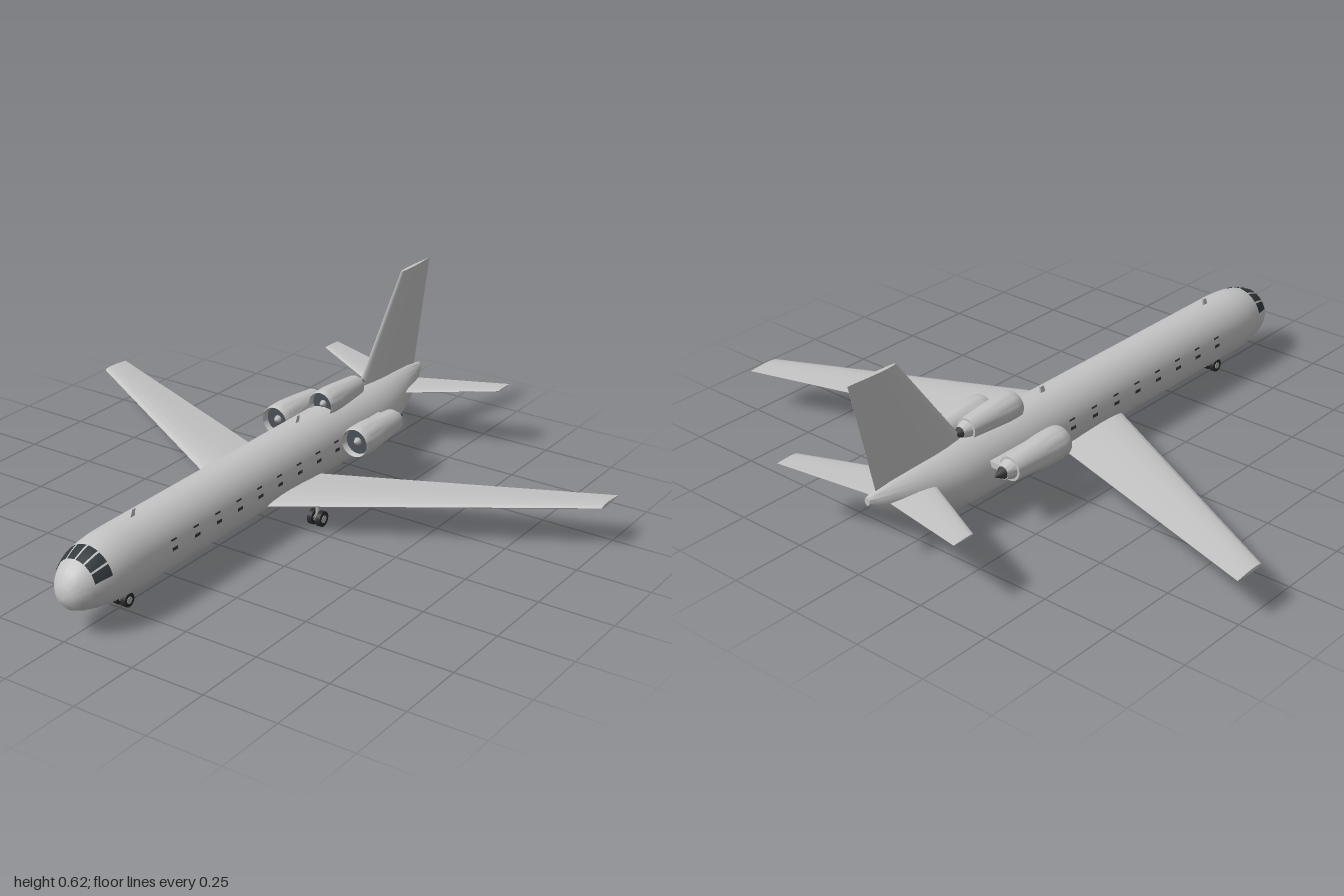
import * as THREE from 'three';
import { mergeGeometries, toCreasedNormals } from 'three/addons/utils/BufferGeometryUtils.js';

const mat = (name, color, side = THREE.FrontSide) => {
  const m = new THREE.MeshStandardMaterial({ color, side });
  m.name = name;
  return m;
};

// Skin a list of equal-length rings, cap both ends and face it outwards
function loft(rings) {
  const pos = [];
  const n = rings[0].length;
  const tri = (a, b, c) => pos.push(...a, ...b, ...c);
  for (let i = 0; i < rings.length - 1; i++) {
    for (let j = 0; j < n; j++) {
      const k = (j + 1) % n, a = rings[i], b = rings[i + 1];
      tri(a[j], a[k], b[k]);
      tri(a[j], b[k], b[j]);
    }
  }
  const cap = (ring, flip) => {
    const c = [0, 1, 2].map(i => ring.reduce((s, p) => s + p[i], 0) / n);
    for (let j = 0; j < n; j++) {
      const a = ring[j], b = ring[(j + 1) % n];
      flip ? tri(c, b, a) : tri(c, a, b);
    }
  };
  cap(rings[0], true);
  cap(rings[rings.length - 1], false);
  // a negative volume means the corners run the wrong way round
  let vol = 0;
  const v = i => new THREE.Vector3().fromArray(pos, i);
  for (let i = 0; i < pos.length; i += 9) vol += v(i).dot(v(i + 3).cross(v(i + 6)));
  if (vol < 0) {
    for (let i = 0; i < pos.length; i += 9) {
      for (let k = 3; k < 6; k++) [pos[i + k], pos[i + k + 3]] = [pos[i + k + 3], pos[i + k]];
    }
  }
  const g = new THREE.BufferGeometry();
  g.setAttribute('position', new THREE.Float32BufferAttribute(pos, 3));
  return toCreasedNormals(g, 0.7);
}

// Fuselage stations: z, centre height, half width, half height
const STATIONS = [
  [1, 0.145, 0.004, 0.004], [0.992, 0.147, 0.032, 0.034], [0.97, 0.153, 0.056, 0.062],
  [0.94, 0.158, 0.074, 0.079], [0.9, 0.162, 0.089, 0.093], [0.85, 0.164, 0.099, 0.103],
  [0.8, 0.164, 0.104, 0.108], [0.75, 0.164, 0.105, 0.109], [-0.55, 0.164, 0.105, 0.109],
  [-0.62, 0.166, 0.102, 0.106], [-0.7, 0.174, 0.09, 0.094], [-0.78, 0.187, 0.071, 0.075],
  [-0.86, 0.203, 0.046, 0.05], [-0.92, 0.2135, 0.024, 0.028], [-0.95, 0.223, 0.01, 0.013],
];

// Point on the fuselage skin; the angle runs from the top towards +x
function skin(z, angle, lift = 0) {
  let i = 0;
  while (i < STATIONS.length - 2 && STATIONS[i + 1][0] > z) i++;
  const a = STATIONS[i], b = STATIONS[i + 1];
  const t = (z - a[0]) / (b[0] - a[0]);
  const [y, rx, ry] = [1, 2, 3].map(k => a[k] + (b[k] - a[k]) * t);
  return [(rx + lift) * Math.sin(angle), y + (ry + lift) * Math.cos(angle), z];
}

// Thin pane following the skin, angles in degrees
function pane(z0, z1, a0, a1) {
  const g = new THREE.PlaneGeometry(1, 1, 4, 4);
  const p = g.attributes.position;
  for (let i = 0; i < p.count; i++) {
    const angle = THREE.MathUtils.degToRad(a0 + (a1 - a0) * (p.getX(i) + 0.5));
    p.setXYZ(i, ...skin(z0 + (z1 - z0) * (p.getY(i) + 0.5), angle, 0.002));
  }
  g.computeVertexNormals();
  return g;
}

// Aerofoil ring; place(offset, z) sets each point in space
const FOIL = [[0.015, 0.32], [0.07, 0.62], [0.2, 0.95], [0.38, 1], [0.65, 0.68], [0.85, 0.32]];
function foil(le, te, thick, place) {
  const at = ([c, h]) => place(h * thick / 2, le + (te - le) * c);
  const lower = FOIL.map(([c, h]) => [c, -h]).reverse();
  return [[0, 0], ...FOIL, [1, 0.04], [1, -0.04], ...lower].map(at);
}

export function createModel() {
  const model = new THREE.Group();
  model.name = 'jetAirliner';
  const paint = mat('light grey paint', 0xc4c4c4);
  const glass = mat('dark glass', 0x33393d, THREE.DoubleSide);
  const fanMetal = mat('fan grey', 0x4a5157);
  const exhaust = mat('exhaust grey', 0x3a3a3a);
  const tyre = mat('tyre black', 0x2b2b2b);
  const hub = mat('hub grey', 0xb0b0b0);

  const add = (name, geometry, material, parent = model) => {
    const m = new THREE.Mesh(geometry, material);
    m.name = name;
    parent.add(m);
    return m;
  };

  // Fuselage
  add('fuselage', loft(STATIONS.map(([z]) =>
    Array.from({ length: 48 }, (_, j) => skin(z, j / 24 * Math.PI)))), paint);

  // Cockpit panes
  const cockpit = [];
  for (let i = 0; i < 6; i++) cockpit.push(pane(0.88, 0.938, -75 + i * 25 + 2, -50 + i * 25 - 2));
  add('cockpitWindows', mergeGeometries(cockpit), glass);

  // Cabin windows: a narrow upper and a deeper lower strip at each place
  const cabin = [];
  for (const s of [1, -1]) {
    for (let i = 0; i < 9; i++) {
      const z = 0.61 - i * 0.109;
      cabin.push(pane(z - 0.013, z + 0.013, s * 70.5, s * 73.5));
      cabin.push(pane(z - 0.013, z + 0.013, s * 84, s * 89.5));
    }
  }
  add('cabinWindows', mergeGeometries(cabin), glass);

  // Wings and tailplanes
  for (const s of [1, -1]) {
    const side = s > 0 ? 'left' : 'right';
    const flat = (x, y) => (o, z) => [s * x, y + o, z];
    add(side + 'Wing', loft([
      foil(0.164, -0.157, 0.036, flat(0, 0.102)),
      foil(-0.4, -0.515, 0.012, flat(1, 0.152))]), paint);
    add(side + 'Tailplane', loft([
      foil(-0.7, -0.883, 0.016, flat(0, 0.2)),
      foil(-0.89, -0.97, 0.006, flat(0.36, 0.228))]), paint);
  }

  // Fin
  const upright = y => (o, z) => [o, y, z];
  add('fin', loft([
    foil(-0.515, -0.91, 0.036, upright(0.22)),
    foil(-0.81, -1, 0.014, upright(0.615))]), paint);

  // Engines, with the intake lip at the local origin
  const spin = pts => toCreasedNormals(new THREE.LatheGeometry(
    pts.map(([r, z]) => new THREE.Vector2(r, z)), 32).rotateX(Math.PI / 2), 0.7);
  const engine = (name, x, y, z, size) => {
    const g = new THREE.Group();
    g.name = name;
    g.position.set(x, y, z);
    g.scale.setScalar(size);
    add('nacelle', spin([[0.02, -0.235], [0.04, -0.235], [0.044, -0.19], [0.049, -0.13], [0.053, -0.07],
      [0.053, -0.03], [0.051, -0.006], [0.048, 0], [0.045, -0.006], [0.043, -0.03]]), paint, g);
    add('nozzle', spin([[0, -0.265], [0.022, -0.265], [0.032, -0.235]]), paint, g);
    add('exhaustCone', spin([[0, -0.302], [0.02, -0.265]]), exhaust, g);
    add('fan', spin([[0.044, -0.022], [0, -0.022]]), fanMetal, g);
    add('spinner', spin([[0.014, -0.022], [0.01, -0.012], [0, -0.005]]), hub, g);
    model.add(g);
  };
  engine('leftEngine', 0.16, 0.2, -0.28, 1);
  engine('rightEngine', -0.16, 0.2, -0.28, 1);
  engine('centreEngine', 0, 0.285, -0.315, 0.91);
  for (const s of [1, -1]) {
    add(s > 0 ? 'leftPylon' : 'rightPylon', new THREE.BoxGeometry(0.07, 0.02, 0.2), paint)
      .position.set(s * 0.1, 0.2, -0.43);
  }

  // Landing gear: a strut, an axle and two wheels
  const gear = (name, x, z, r, top) => {
    const g = new THREE.Group();
    g.name = name;
    g.position.set(x, r, z);
    add('strut', new THREE.CylinderGeometry(0.007, 0.007, top - r, 12), hub, g).position.y = (top - r) / 2;
    add('axle', new THREE.CylinderGeometry(0.005, 0.005, 0.034, 10).rotateZ(Math.PI / 2), hub, g);
    for (const s of [1, -1]) {
      add('tyre', new THREE.CylinderGeometry(r, r, 0.016, 24).rotateZ(Math.PI / 2), tyre, g).position.x = s * 0.016;
      add('hub', new THREE.CylinderGeometry(r * 0.5, r * 0.5, 0.019, 16).rotateZ(Math.PI / 2), hub, g)
        .position.x = s * 0.016;
    }
    model.add(g);
  };
  gear('noseGear', 0, 0.73, 0.023, 0.08);
  gear('leftMainGear', 0.172, -0.05, 0.026, 0.11);
  gear('rightMainGear', -0.172, -0.05, 0.026, 0.11);

  // Swept blade aerials
  const aerial = (name, y, z, up) => {
    const blade = (yy, zz, c) => [[-0.003, yy, zz + c], [0.003, yy, zz + c], [0.003, yy, zz - c], [-0.003, yy, zz - c]];
    add(name, loft([blade(y, z, 0.012), blade(y + up * 0.03, z - 0.008, 0.007)]), paint);
  };
  aerial('frontAerial', 0.265, 0.68, 1);
  aerial('rearAerial', 0.265, -0.175, 1);
  aerial('bellyAerial', 0.065, 0.2, -1);

  return model;
}
